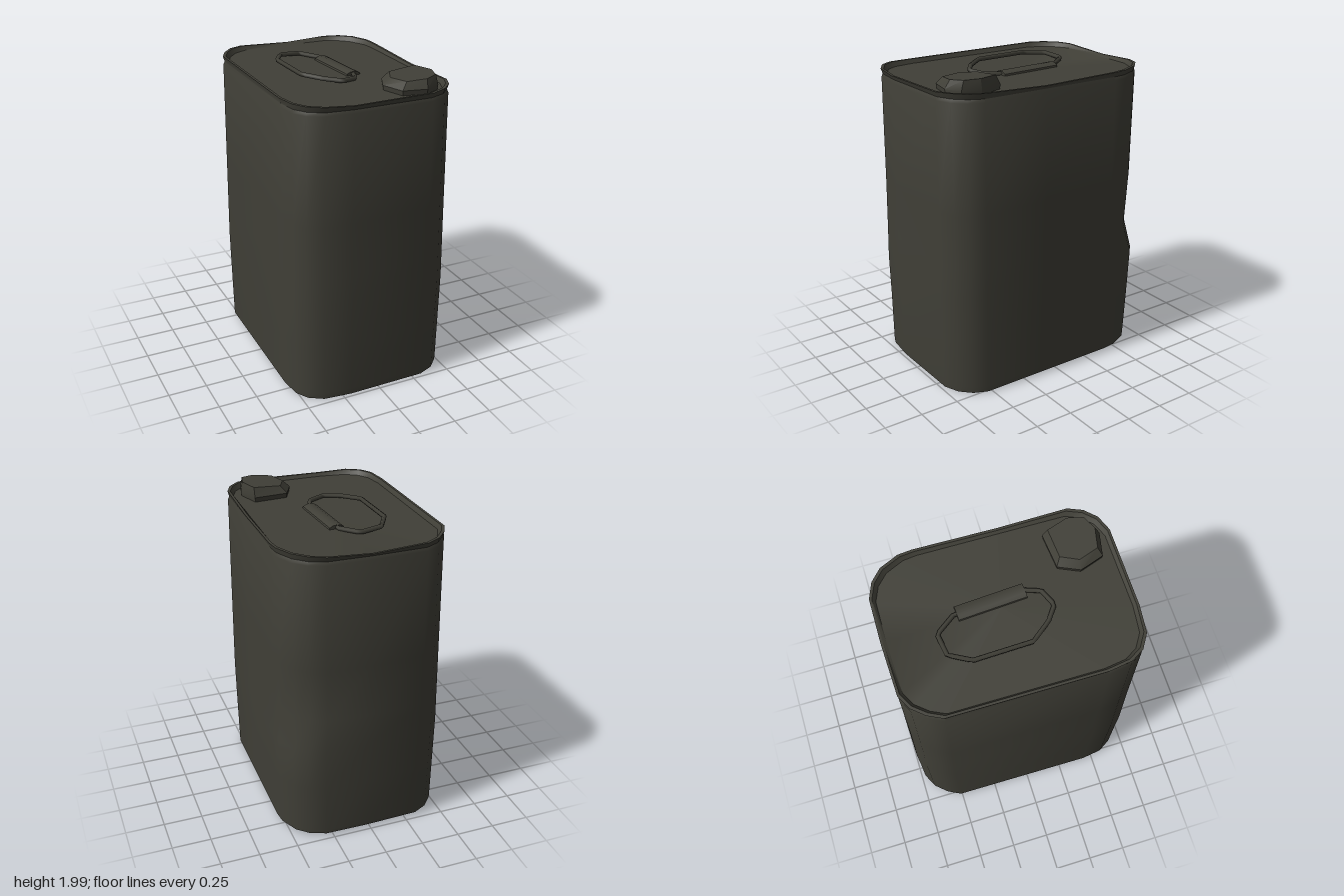
import * as THREE from 'three';
import { toCreasedNormals } from 'three/addons/utils/BufferGeometryUtils.js';

// Skin closed cross-sections (each a loop of [x, y, z], clockwise from above)
function loft(rings, crease) {
  const tri = [];
  const n = rings[0].length;
  const add = (...p) => p.forEach((v) => tri.push(...v));
  for (let r = 0; r < rings.length - 1; r++) {
    const lo = rings[r], hi = rings[r + 1];
    for (let k = 0; k < n; k++) {
      const j = (k + 1) % n;
      add(lo[k], hi[k], lo[j], lo[j], hi[k], hi[j]);
    }
  }
  const cap = (ring, up) => {
    const c = [0, 1, 2].map((a) => ring.reduce((s, p) => s + p[a], 0) / n);
    for (let k = 0; k < n; k++) {
      const j = (k + 1) % n;
      if (up) add(c, ring[j], ring[k]);
      else add(c, ring[k], ring[j]);
    }
  };
  cap(rings[0], false);
  cap(rings[rings.length - 1], true);
  const g = new THREE.BufferGeometry();
  g.setAttribute('position', new THREE.Float32BufferAttribute(tri, 3));
  return toCreasedNormals(g, crease);
}

// Plan of the can, [x, z], with worn, slightly uneven corners
const plan = [
  [-0.535, -0.52], [-0.49, -0.61], [-0.42, -0.69], [-0.33, -0.735],
  [0.02, -0.745], [0.3, -0.74], [0.4, -0.7], [0.475, -0.63], [0.53, -0.51],
  [0.54, -0.42], [0.535, 0.1], [0.53, 0.54], [0.49, 0.63], [0.42, 0.7], [0.32, 0.74],
  [-0.2, 0.745], [-0.38, 0.725], [-0.47, 0.67], [-0.52, 0.59], [-0.54, 0.45],
];

// One level of the can: scale in x and z, height as a function of x and z
const level = (sx, sz, y) => plan.map(([x, z]) => [x * sx, typeof y === 'function' ? y(x, z) : y, z * sz]);

// Push the back corner on the +x side in (negative) or out (positive)
function dent(ring, amount) {
  return ring.map(([x, y, z]) => {
    const w = Math.exp(-((x - 0.45) ** 2 + (z + 0.66) ** 2) / 0.06);
    return [x + amount * w * 0.6, y, z - amount * w * 0.8];
  });
}

export function createModel() {
  const model = new THREE.Group();
  const metal = new THREE.MeshStandardMaterial({ color: 0x403f37 });
  metal.name = 'dark olive metal';
  const part = (geometry, name) => {
    const mesh = new THREE.Mesh(geometry, metal);
    mesh.name = name;
    model.add(mesh);
    return mesh;
  };

  // Can body with bottom bevel, dented wall, raised rim and sunken lid
  const bottom = (x, z) => 0.016 - 0.012 * z;
  const rimTop = (x, z) => 1.915 + 0.02 * Math.min(1, Math.abs(x * z) / 0.3);
  part(loft([
    level(0.96, 0.96, (x, z) => bottom(x, z) - 0.004),
    level(0.985, 0.98, bottom),
    level(0.985, 0.985, 0.05),
    dent(level(0.995, 0.99, 0.38), 0.01),
    dent(level(1, 1, 0.66), 0.015),
    dent(level(0.998, 0.995, 0.86), -0.035),
    dent(level(0.993, 0.99, 1.2), -0.012),
    level(0.98, 0.99, 1.88),
    level(0.965, 0.98, 1.9),
    level(0.98, 0.995, rimTop),
    level(0.95, 0.975, rimTop),
    level(0.92, 0.95, 1.905),
  ], 0.65), 'canBody');

  // Screw cap: uneven seven-sided plug
  const capPlan = [[0.11, 0.49], [0.17, 0.36], [0.39, 0.34], [0.44, 0.5], [0.41, 0.62], [0.31, 0.67], [0.16, 0.64]];
  const capRing = (s, y, tilt, dx) => capPlan.map(([x, z]) => [
    0.29 + dx + (x - 0.29) * s, y + tilt * (x - 0.29), 0.51 + (z - 0.51) * s]);
  part(loft([
    capRing(0.97, 1.9, 0, 0),
    capRing(1, 1.935, 0, 0),
    capRing(0.82, 1.988, 0.06, 0.015),
  ], 0.5), 'screwCap');

  // Folded wire handle, lifted a little on its free side
  const wirePath = new THREE.CurvePath();
  const wire = [
    [0.06, -0.3], [-0.03, -0.42], [-0.17, -0.4], [-0.245, -0.27], [-0.235, 0.09],
    [-0.14, 0.21], [-0.05, 0.275], [0.06, 0.23], [0.1, 0.12],
  ].map(([x, z]) => new THREE.Vector3(x, 1.913 - 0.08 * (x - 0.08), z));
  wire.forEach((p, i) => wirePath.add(new THREE.LineCurve3(p, wire[(i + 1) % wire.length])));
  part(new THREE.TubeGeometry(wirePath, 54, 0.015, 5, true), 'wireHandle');

  // Folded strap that holds the handle down
  const strapShape = new THREE.Shape();
  [[-0.055, -0.03], [0.055, -0.03], [0.045, 0.008], [0.02, 0.02], [-0.02, 0.02], [-0.045, 0.008]]
    .forEach(([x, y], i) => (i ? strapShape.lineTo(x, y) : strapShape.moveTo(x, y)));
  const strapGeometry = new THREE.ExtrudeGeometry(strapShape, { depth: 0.42, bevelEnabled: false });
  strapGeometry.translate(0, 0, -0.21);
  const strap = part(toCreasedNormals(strapGeometry, 0.8), 'handleStrap');
  strap.position.set(0.08, 1.908, -0.07);
  strap.rotation.y = 0.06;

  return model;
}
